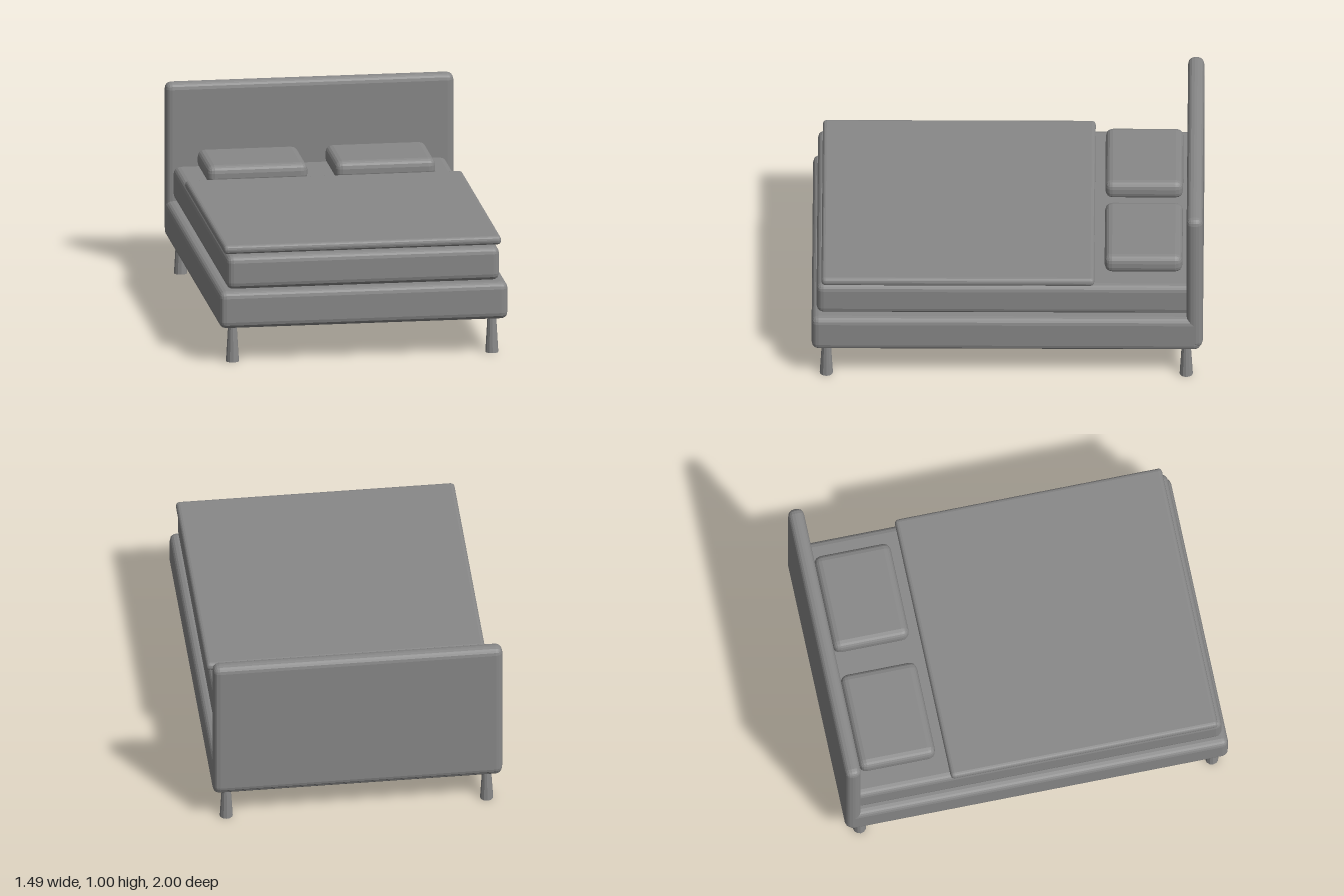
import * as THREE from 'three';
import { RoundedBoxGeometry } from 'three/addons/geometries/RoundedBoxGeometry.js';

const grey = new THREE.MeshStandardMaterial({ color: 0x888888, flatShading: true });
grey.name = 'grey';

// Rounded box from its minimum and maximum corners
function softBox(name, [x0, y0, z0], [x1, y1, z1], radius) {
  const geometry = new RoundedBoxGeometry(x1 - x0, y1 - y0, z1 - z0, 2, radius);
  const mesh = new THREE.Mesh(geometry, grey);
  mesh.name = name;
  mesh.position.set((x0 + x1) / 2, (y0 + y1) / 2, (z0 + z1) / 2);
  return mesh;
}

export function createModel() {
  const bed = new THREE.Group();
  bed.name = 'bed';

  // Frame and headboard
  bed.add(softBox('frame', [-0.745, 0.185, -0.99], [0.745, 0.38, 1], 0.035));
  bed.add(softBox('headboard', [-0.745, 0.2, -1], [0.745, 1, -0.917], 0.035));

  // Bedding
  bed.add(softBox('mattress', [-0.705, 0.385, -0.96], [0.705, 0.56, 0.975], 0.035));
  bed.add(softBox('blanket', [-0.717, 0.566, -0.445], [0.717, 0.612, 0.95], 0.02));

  // Pillows and tapered legs, mirrored left and right
  const legGeometry = new THREE.CylinderGeometry(0.022, 0.034, 0.2, 12);
  for (const side of [-1, 1]) {
    const pillow = softBox('pillow', [-0.26, 0.56, -0.895], [0.26, 0.661, -0.497], 0.038);
    pillow.position.x = side * 0.33;
    bed.add(pillow);
    for (const z of [-0.915, 0.925]) {
      const leg = new THREE.Mesh(legGeometry, grey);
      leg.name = 'leg';
      leg.position.set(side * 0.67, 0.1, z);
      bed.add(leg);
    }
  }
  return bed;
}
